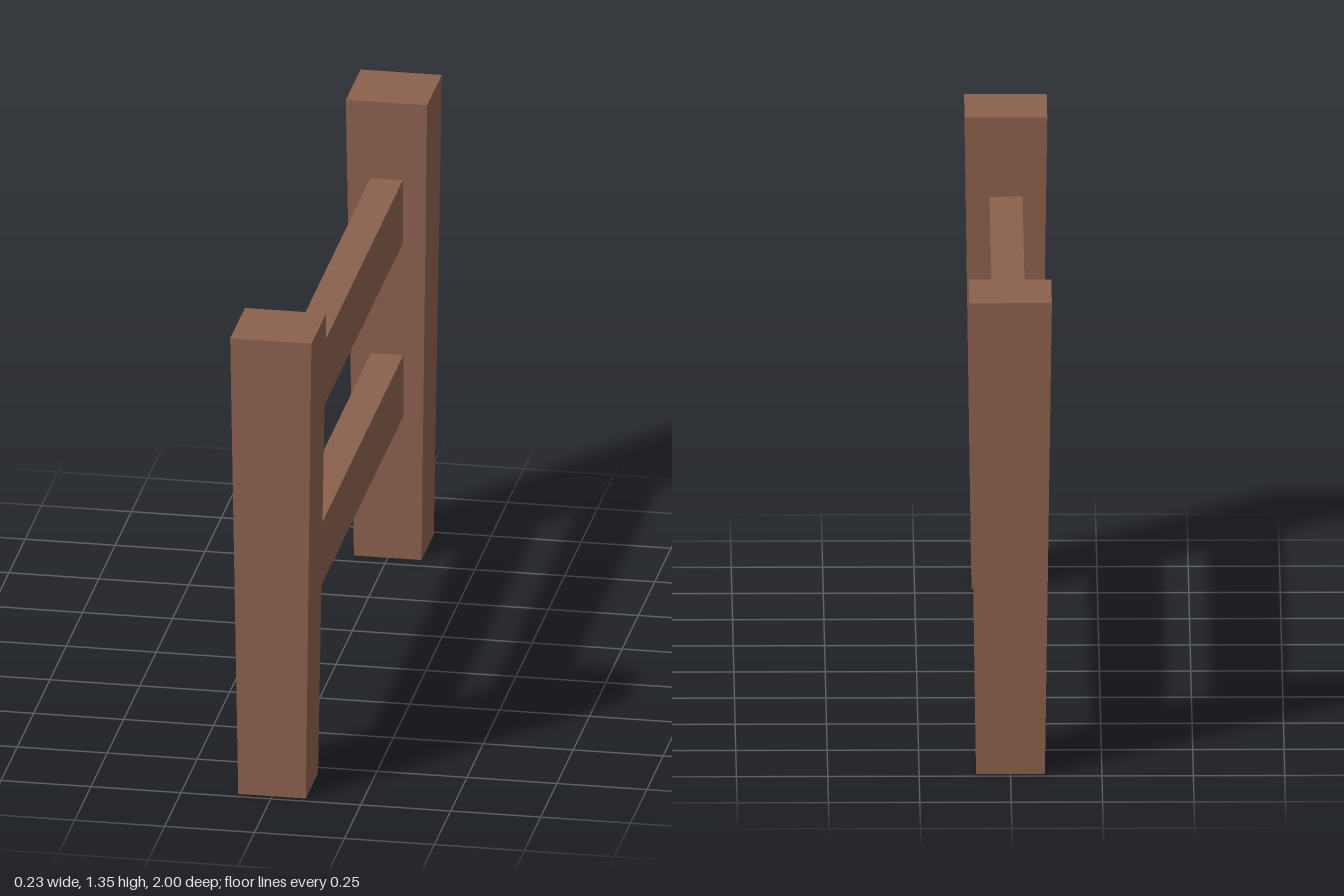
import * as THREE from 'three';

const HEIGHT = 1.35, TOP = 0.226, BOTTOM = 0.188;

export function createModel() {
  const model = new THREE.Group();
  model.name = 'fence';
  const wood = new THREE.MeshStandardMaterial({ color: 0x8b604d });
  wood.name = 'brown wood';

  // Square posts, narrowing toward the ground
  const postGeometry = new THREE.BoxGeometry(TOP, HEIGHT, TOP);
  const p = postGeometry.attributes.position;
  for (let i = 0; i < p.count; i++) {
    if (p.getY(i) < 0) {
      p.setX(i, p.getX(i) * BOTTOM / TOP);
      p.setZ(i, p.getZ(i) * BOTTOM / TOP);
    }
  }
  postGeometry.translate(0, HEIGHT / 2, 0);
  postGeometry.computeVertexNormals();
  for (const [name, side] of [['frontPost', 1], ['backPost', -1]]) {
    const post = new THREE.Mesh(postGeometry, wood);
    post.name = name;
    post.position.z = side * (1 - TOP / 2);
    model.add(post);
  }

  // Horizontal rails, seated slightly into the posts
  for (const [name, y, height] of [['lowerRail', 0.514, 0.18], ['upperRail', 1.03, 0.186]]) {
    const rail = new THREE.Mesh(new THREE.BoxGeometry(0.09, height, 1.6), wood);
    rail.name = name;
    rail.position.y = y;
    model.add(rail);
  }
  return model;
}
